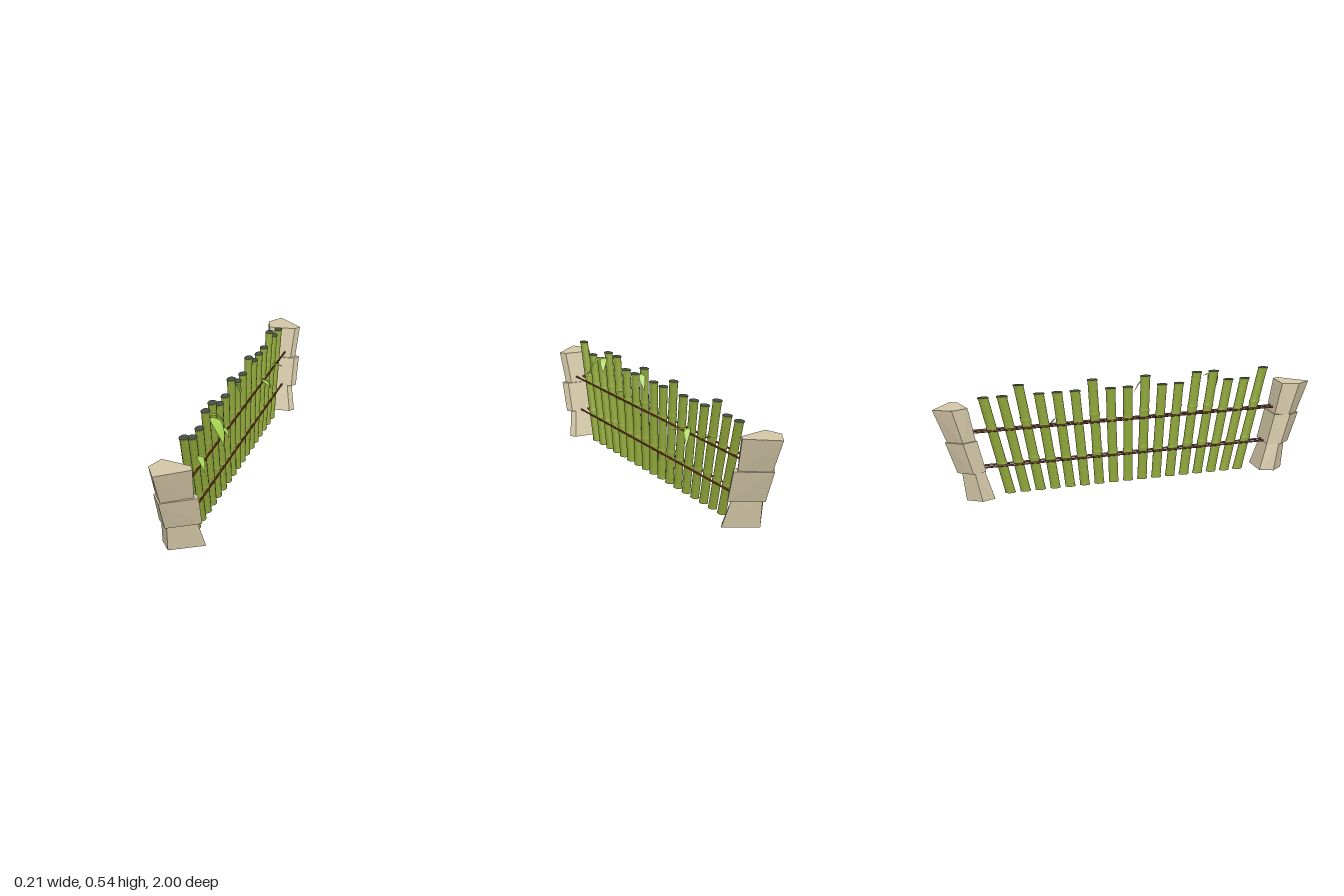
import * as THREE from 'three';
import { ConvexGeometry } from 'three/addons/geometries/ConvexGeometry.js';

const V = (x, y, z) => new THREE.Vector3(x, y, z);

function material(name, color, options = {}) {
  const m = new THREE.MeshStandardMaterial({ color, ...options });
  m.name = name;
  return m;
}

function addMesh(parent, name, geometry, mat) {
  const mesh = new THREE.Mesh(geometry, mat);
  mesh.name = name;
  parent.add(mesh);
  return mesh;
}

// Five-sided stone block, pointed outward; each level is { y, left, ridge, right, inner, outer }
function stoneBlock(levels, side) {
  const points = [];
  for (const { y, left, ridge, right, inner, outer } of levels) {
    const at = (x, f) => points.push(V(x, y, side * (inner + (outer - inner) * f)));
    at(left, 0.5);
    at(ridge, 1);
    at(right, 0.33);
    at(right - 0.02, 0.12);
    at(left + 0.03, 0);
  }
  return new ConvexGeometry(points);
}

// Cane made of tapering segments with flared joints
function caneProfile(joints) {
  const pts = [];
  for (let i = 0; i < joints.length - 1; i++) {
    const a = joints[i], b = joints[i + 1];
    pts.push(
      new THREE.Vector2(0.0225, a + (i ? 0.003 : 0)),
      new THREE.Vector2(0.021, a + 0.014),
      new THREE.Vector2(0.021, b - 0.012),
      new THREE.Vector2(0.0235, b - 0.003),
      new THREE.Vector2(0.0235, b)
    );
  }
  return pts;
}

// Leaf blade swept along a bent line, widest before the middle
function leafGeometry(start, mid, end, width) {
  const curve = new THREE.QuadraticBezierCurve3(start, mid, end);
  const across = V(0, 1, 0).cross(end.clone().sub(start)).normalize();
  const steps = 6, pos = [], index = [];
  for (let i = 0; i <= steps; i++) {
    const t = i / steps;
    const half = 0.5 * width * Math.sin(Math.PI * Math.pow(t, 0.8)) + 0.001;
    const p = curve.getPoint(t);
    for (const s of [-1, 1]) {
      const q = p.clone().addScaledVector(across, s * half);
      pos.push(q.x, q.y, q.z);
    }
    if (i < steps) {
      const k = i * 2;
      index.push(k, k + 2, k + 1, k + 1, k + 2, k + 3);
    }
  }
  const g = new THREE.BufferGeometry();
  g.setAttribute('position', new THREE.Float32BufferAttribute(pos, 3));
  g.setIndex(index);
  g.computeVertexNormals();
  return g;
}

export function createModel() {
  const model = new THREE.Group();
  model.name = 'bambooFence';
  const stone = material('stone', 0xd2c6a6);
  const cane = material('caneGreen', 0x90a63a);
  const cut = material('cutEnd', 0x474e43);
  const rope = material('ropeBrown', 0x682b13);
  const leaf = material('leafGreen', 0xa2d04f, { side: THREE.DoubleSide });

  // Stone end pillars, three stacked blocks each
  const blocks = [
    ['lowerStone',
      { y: 0, left: -0.107, ridge: -0.055, right: 0.098, inner: 0.715, outer: 0.85 },
      { y: 0.14, left: -0.098, ridge: -0.05, right: 0.071, inner: 0.76, outer: 0.868 }],
    ['middleStone',
      { y: 0.14, left: -0.104, ridge: -0.05, right: 0.095, inner: 0.755, outer: 0.89 },
      { y: 0.296, left: -0.107, ridge: -0.054, right: 0.097, inner: 0.795, outer: 0.945 }],
    ['upperStone',
      { y: 0.296, left: -0.098, ridge: -0.05, right: 0.075, inner: 0.8, outer: 0.935 },
      { y: 0.46, left: -0.106, ridge: -0.054, right: 0.087, inner: 0.835, outer: 1 }]
  ];
  for (const side of [1, -1]) {
    const pillar = new THREE.Group();
    pillar.name = side > 0 ? 'frontPillar' : 'backPillar';
    for (const [name, ...levels] of blocks) addMesh(pillar, name, stoneBlock(levels, side), stone);
    model.add(pillar);
  }

  // Oval canes leaning outward toward both ends, with level cut ends
  const tall = new Set([0, 3, 4, 7, 10, 14]);
  for (let i = 0; i < 17; i++) {
    const z = 0.62 - i * 0.0775;
    const lean = new THREE.Matrix4().set(
      0.93, 0, 0, 0,
      0, 1, 0, 0,
      0, z * 0.41, 1.2, 0,
      0, 0, 0, 1
    );
    const joints = tall.has(i) ? [0, 0.17, 0.362, 0.54] : [0, 0.155, 0.33, 0.49];
    const stalk = new THREE.Group();
    stalk.name = 'stalk' + (i + 1);
    addMesh(stalk, 'cane', new THREE.LatheGeometry(caneProfile(joints), 12).applyMatrix4(lean), cane);
    for (const [name, y, radius, turn] of [['topCut', joints[3], 0.0235, -1], ['bottomCut', 0, 0.0225, 1]]) {
      const cap = new THREE.CircleGeometry(radius, 12);
      cap.rotateX(turn * Math.PI / 2).rotateY(Math.PI / 2).translate(0, y, 0).applyMatrix4(lean);
      addMesh(stalk, name, cap, cut);
    }
    stalk.position.z = z;
    model.add(stalk);
  }

  // Paired binding ropes on both faces of the fence
  for (const [y, half] of [[0.145, 0.775], [0.325, 0.83]]) {
    for (const x of [-0.02, 0.02]) {
      const g = new THREE.CylinderGeometry(0.005, 0.005, half * 2, 6);
      g.rotateX(Math.PI / 2);
      addMesh(model, 'rope', g, rope).position.set(x, y, 0);
    }
  }

  // Leaves sprouting from the joints: start, bend, tip, width
  const leaves = [
    [V(0.025, 0.515, 0.485), V(0.085, 0.51, 0.5), V(0.105, 0.395, 0.525), 0.055],
    [V(0.025, 0.515, 0.465), V(0.055, 0.53, 0.44), V(0.07, 0.45, 0.405), 0.035],
    [V(0.018, 0.39, 0.64), V(0.045, 0.4, 0.65), V(0.065, 0.33, 0.675), 0.03],
    [V(0.018, 0.515, 0.09), V(0.03, 0.51, 0.07), V(0.033, 0.44, 0.04), 0.03],
    [V(0.018, 0.345, -0.36), V(0.05, 0.355, -0.34), V(0.082, 0.335, -0.31), 0.025],
    [V(0.018, 0.35, -0.36), V(0.05, 0.36, -0.38), V(0.06, 0.28, -0.405), 0.03],
    [V(0.018, 0.36, -0.545), V(0.05, 0.37, -0.545), V(0.087, 0.357, -0.54), 0.02],
    [V(0.018, 0.37, 0.295), V(0.045, 0.375, 0.3), V(0.06, 0.325, 0.31), 0.022]
  ];
  for (const [start, bend, tip, width] of leaves) {
    addMesh(model, 'leaf', leafGeometry(start, bend, tip, width), leaf);
  }
  return model;
}
